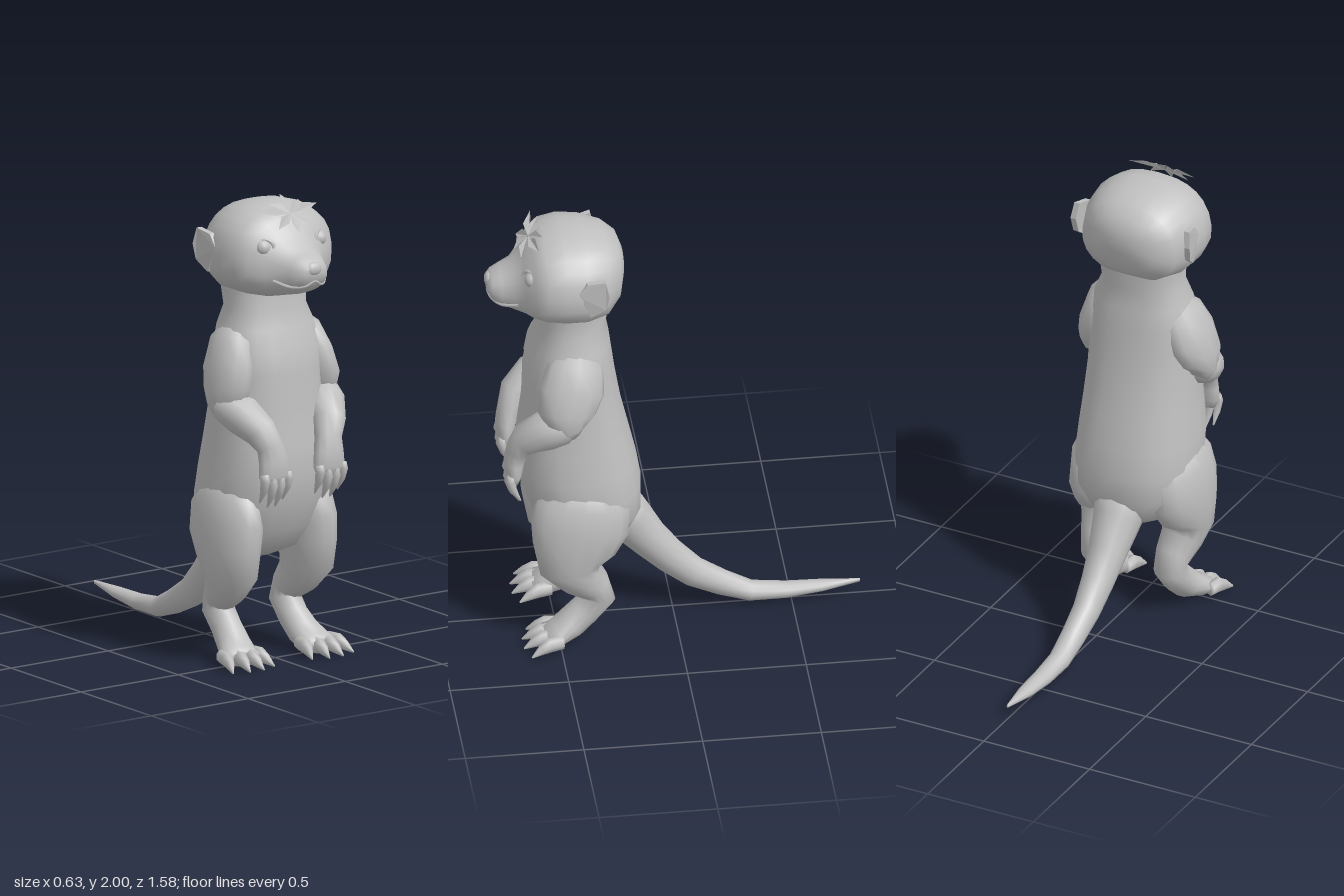
import * as THREE from 'three';

const V = (x, y, z) => new THREE.Vector3(x, y, z);

// Skin a list of equal-length rings, closing both ends; faces are turned outward
function skin(rings) {
  const n = rings[0].length, pos = [], idx = [];
  const mid = r => r.reduce((s, p) => s.add(p), V(0, 0, 0)).divideScalar(n);
  for (const r of rings) for (const p of r) pos.push(p.x, p.y, p.z);
  const last = rings.length - 1, capA = n * rings.length, capB = capA + 1;
  for (const c of [mid(rings[0]), mid(rings[last])]) pos.push(c.x, c.y, c.z);
  for (let j = 0; j < n; j++) {
    const k = (j + 1) % n;
    for (let i = 0; i < last; i++) {
      const a = i * n + j, b = i * n + k;
      idx.push(a, b, a + n, b, b + n, a + n);
    }
    idx.push(capA, k, j, capB, last * n + j, last * n + k);
  }
  let volume = 0;
  const at = i => V(pos[i * 3], pos[i * 3 + 1], pos[i * 3 + 2]);
  for (let i = 0; i < idx.length; i += 3) volume += at(idx[i]).dot(at(idx[i + 1]).cross(at(idx[i + 2])));
  if (volume < 0) idx.reverse();
  const g = new THREE.BufferGeometry();
  g.setAttribute('position', new THREE.Float32BufferAttribute(pos, 3));
  g.setIndex(idx);
  g.computeVertexNormals();
  return g;
}

// Superellipse ring around c, spanned by u and v
function ring(c, u, v, n = 16, power = 2) {
  const bend = t => Math.sign(t) * Math.abs(t) ** (2 / power);
  return Array.from({ length: n }, (_, i) => {
    const a = i / n * Math.PI * 2;
    return c.clone().addScaledVector(u, bend(Math.cos(a))).addScaledVector(v, bend(Math.sin(a)));
  });
}

// Limb along a path of [x, y, z, half width, half depth]
function limb(path, n = 12) {
  const p = path.map(q => V(q[0], q[1], q[2]));
  return skin(path.map((q, i) => {
    const t = p[Math.min(i + 1, p.length - 1)].clone().sub(p[Math.max(i - 1, 0)]).normalize();
    const u = V(1, 0, 0).addScaledVector(t, -t.x).normalize();
    return ring(p[i], u.clone().multiplyScalar(q[3]), t.clone().cross(u).multiplyScalar(q[4]), n);
  }));
}

export function createModel() {
  const model = new THREE.Group();
  const fur = new THREE.MeshStandardMaterial({ color: 0xc0c0c0 });
  fur.name = 'grey';
  fur.side = THREE.DoubleSide;
  const add = (name, geometry, parent = model) => {
    const m = new THREE.Mesh(geometry, fur);
    m.name = name;
    parent.add(m);
    return m;
  };

  // Torso: [y, back z, front z, half width]
  add('torso', skin([
    [0.43, 0.25, 0.42, 0.1], [0.48, 0.18, 0.53, 0.19], [0.58, 0.135, 0.6, 0.25], [0.7, 0.135, 0.64, 0.268],
    [0.82, 0.155, 0.665, 0.262], [0.95, 0.185, 0.655, 0.25], [1.1, 0.22, 0.635, 0.238], [1.25, 0.245, 0.63, 0.235],
    [1.35, 0.258, 0.615, 0.235], [1.44, 0.27, 0.585, 0.215], [1.52, 0.285, 0.565, 0.18], [1.6, 0.27, 0.56, 0.185],
    [1.68, 0.28, 0.55, 0.18],
  ].map(([y, b, f, w]) => ring(V(0, y, (b + f) / 2), V(w, 0, 0), V(0, 0, (f - b) / 2), 20, 2.3))));

  // Head from nape to nose: [z, bottom y, top y, half width]
  add('head', skin([
    [0.212, 1.74, 1.84, 0.07], [0.235, 1.65, 1.9, 0.16], [0.29, 1.585, 1.94, 0.225], [0.38, 1.565, 1.967, 0.262],
    [0.47, 1.57, 1.975, 0.272], [0.55, 1.58, 1.96, 0.258], [0.6, 1.59, 1.925, 0.222], [0.635, 1.6, 1.865, 0.165],
    [0.68, 1.61, 1.815, 0.12], [0.73, 1.63, 1.79, 0.098], [0.765, 1.655, 1.772, 0.078], [0.785, 1.69, 1.75, 0.05],
  ].map(([z, b, t, w]) => {
    const r = ring(V(0, (b + t) / 2, z), V(w, 0, 0), V(0, (t - b) / 2, 0), 24, 2.3);
    // Fuller cheeks, narrower crown
    for (const p of r) p.x *= 1.04 - 0.12 * (p.y - b) / (t - b);
    return r;
  })));

  // Nose and mouth
  const nose = add('nose', new THREE.SphereGeometry(1, 12, 8));
  nose.scale.set(0.042, 0.03, 0.022);
  nose.position.set(0, 1.735, 0.772);
  const smile = new THREE.CatmullRomCurve3([V(-0.13, 1.68, 0.665), V(-0.085, 1.66, 0.73), V(-0.035, 1.665, 0.768),
    V(0, 1.685, 0.78), V(0.035, 1.665, 0.768), V(0.085, 1.66, 0.73), V(0.13, 1.68, 0.665)]);
  add('mouth', new THREE.TubeGeometry(smile, 24, 0.007, 5));

  // Tail
  add('tail', limb([
    [0, 0.6, 0.28, 0.14, 0.12], [0, 0.48, 0.19, 0.105, 0.105], [0, 0.36, 0.1, 0.082, 0.085], [0, 0.26, 0.01, 0.068, 0.075],
    [0, 0.17, -0.09, 0.057, 0.066], [0, 0.105, -0.21, 0.051, 0.055], [0, 0.054, -0.33, 0.047, 0.043],
    [0, 0.046, -0.48, 0.042, 0.034], [0, 0.054, -0.63, 0.033, 0.024], [0, 0.066, -0.79, 0.004, 0.008],
  ]));

  for (const s of [1, -1]) {
    const side = new THREE.Group();
    side.name = s > 0 ? 'leftSide' : 'rightSide';
    model.add(side);
    const part = (name, path, n) => add(name, limb(path.map(([x, ...q]) => [x * s, ...q]), n), side);

    // Arm, bent at the elbow, and hand with claws
    part('upperArm', [[0.13, 1.44, 0.42, 0.06, 0.07], [0.17, 1.38, 0.43, 0.085, 0.12], [0.205, 1.28, 0.45, 0.09, 0.14],
      [0.23, 1.19, 0.475, 0.087, 0.125], [0.238, 1.12, 0.47, 0.075, 0.08], [0.235, 1.09, 0.45, 0.05, 0.05]]);
    part('forearm', [[0.245, 1.13, 0.43, 0.045, 0.035], [0.235, 1.125, 0.48, 0.083, 0.075], [0.21, 1.09, 0.56, 0.088, 0.085],
      [0.175, 1.03, 0.64, 0.072, 0.07], [0.15, 0.97, 0.67, 0.06, 0.05], [0.142, 0.91, 0.685, 0.07, 0.044],
      [0.14, 0.85, 0.69, 0.078, 0.038], [0.14, 0.81, 0.688, 0.06, 0.026]]);
    for (let i = 0; i < 4; i++) {
      const x = 0.083 + i * 0.039, drop = i === 1 || i === 2 ? 0 : 0.025;
      part('finger', [[x, 0.86, 0.7, 0.018, 0.022], [x, 0.81 + drop, 0.707, 0.021, 0.022],
        [x, 0.765 + drop, 0.695, 0.016, 0.016], [x, 0.71 + drop, 0.665, 0.003, 0.004]], 7);
    }

    // Thigh, shin, raised heel and foot
    part('leg', [[0.15, 0.78, 0.38, 0.09, 0.13], [0.175, 0.68, 0.4, 0.118, 0.2], [0.19, 0.57, 0.415, 0.118, 0.21],
      [0.197, 0.47, 0.44, 0.108, 0.178], [0.196, 0.39, 0.45, 0.1, 0.14], [0.187, 0.325, 0.41, 0.088, 0.1],
      [0.176, 0.265, 0.355, 0.077, 0.075], [0.172, 0.21, 0.33, 0.068, 0.07], [0.172, 0.14, 0.39, 0.065, 0.067],
      [0.18, 0.085, 0.45, 0.073, 0.065], [0.195, 0.05, 0.51, 0.085, 0.047], [0.202, 0.042, 0.56, 0.08, 0.036]], 14);
    for (let i = 0; i < 4; i++) {
      const x = 0.125 + i * 0.05, out = (i - 1.3) * 0.014, z = i === 1 || i === 2 ? 0.02 : -0.005;
      part('toe', [[x, 0.05, 0.5 + z, 0.025, 0.03], [x + out * 0.4, 0.048, 0.555 + z, 0.027, 0.033],
        [x + out * 0.8, 0.033, 0.59 + z, 0.02, 0.024], [x + out * 1.5, 0.008, 0.635 + z, 0.003, 0.004]], 7);
    }

    // Ear: a plate whose rear edge flares outward
    const earShape = new THREE.Shape([[0.43, 1.79], [0.39, 1.845], [0.315, 1.86], [0.3, 1.79], [0.315, 1.725], [0.375, 1.68],
      [0.4, 1.73]].map(q => new THREE.Vector2(...q)));
    const ear = new THREE.ExtrudeGeometry(earShape, { depth: 0.025, bevelEnabled: false });
    const ep = ear.attributes.position;
    for (let i = 0; i < ep.count; i++) {
      const z = ep.getX(i), y = ep.getY(i);
      ep.setXYZ(i, s * (0.235 + ep.getZ(i) + (0.42 - z) * 0.2 - Math.abs(y - 1.77) * 0.1), y, z);
    }
    if (s > 0) for (let i = 0; i < ep.count; i += 3) {
      const a = V().fromBufferAttribute(ep, i), b = V().fromBufferAttribute(ep, i + 1);
      ep.setXYZ(i, b.x, b.y, b.z);
      ep.setXYZ(i + 1, a.x, a.y, a.z);
    }
    ear.computeVertexNormals();
    add('ear', ear, side);

    // Eye with a lid ring
    const eye = new THREE.Group();
    eye.name = 'eye';
    eye.position.set(s * 0.142, 1.815, 0.606);
    eye.rotation.set(-0.15, s * 0.6, 0);
    side.add(eye);
    add('eyeball', new THREE.SphereGeometry(0.036, 14, 10), eye);
    const lid = add('eyelid', new THREE.TorusGeometry(0.04, 0.009, 6, 18), eye);
    lid.scale.set(1.15, 0.85, 1);
    lid.position.z = 0.008;
  }

  // Leaf on the brow: folded leaflets fanned around a centre
  const leaf = new THREE.Group();
  leaf.name = 'leaf';
  leaf.position.set(0, 1.932, 0.6);
  leaf.rotation.x = -0.8;
  model.add(leaf);
  [[0, 0.105], [50, 0.1], [78, 0.16], [125, 0.11], [180, 0.095], [-50, 0.1], [-78, 0.16], [-125, 0.11]].forEach(([deg, len]) => {
    const w = 0.022, g = new THREE.BufferGeometry();
    g.setAttribute('position', new THREE.Float32BufferAttribute([
      0, 0, 0.012, 0, len, 0.006, -w, len * 0.5, 0.022, 0, 0, 0.012, w, len * 0.5, 0.022, 0, len, 0.006], 3));
    g.computeVertexNormals();
    add('leaflet', g, leaf).rotation.z = -deg * Math.PI / 180;
  });

  return model;
}
